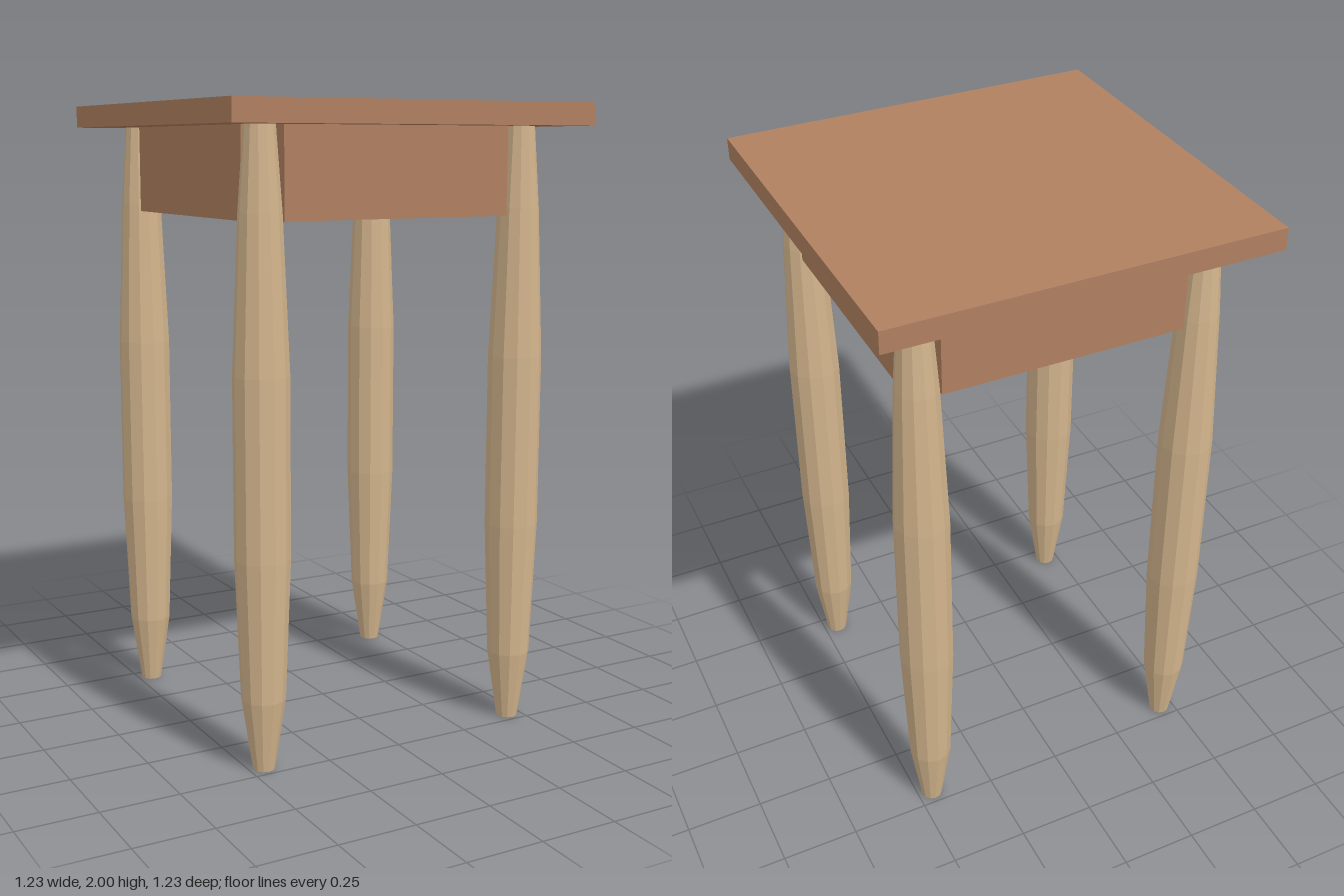
import * as THREE from 'three';

export function createModel() {
  const model = new THREE.Group();
  const brownWood = new THREE.MeshStandardMaterial({ color: 0xb08060 });
  const paleWood = new THREE.MeshStandardMaterial({ color: 0xd2b48c, flatShading: true });
  brownWood.name = 'brownWood';
  paleWood.name = 'paleWood';

  const add = (name, geometry, material, x, y, z) => {
    const mesh = new THREE.Mesh(geometry, material);
    mesh.name = name;
    mesh.position.set(x, y, z);
    model.add(mesh);
    return mesh;
  };

  const legOffset = 0.452;

  // Square seat board
  add('seat', new THREE.BoxGeometry(1.23, 0.07, 1.23), brownWood, 0, 1.965, 0);

  // Four apron boards set between the legs
  const apron = new THREE.BoxGeometry(0.775, 0.275, 0.056);
  ['front', 'left', 'back', 'right'].forEach((side, i) => {
    const a = i * Math.PI / 2;
    const board = add(side + 'Apron', apron, brownWood,
      Math.sin(a) * legOffset, 1.7925, Math.cos(a) * legOffset);
    board.rotation.y = a;
  });

  // Turned legs, swelling in the middle and tapering to both ends
  const profile = [
    [0, 0], [0.034, 0], [0.068, 0.225], [0.085, 0.66],
    [0.085, 1.21], [0.065, 1.68], [0.047, 1.93], [0, 1.93],
  ].map(([r, y]) => new THREE.Vector2(r, y));
  const leg = new THREE.LatheGeometry(profile, 12);
  for (const [zName, z] of [['front', 1], ['back', -1]]) {
    for (const [xName, x] of [['Left', 1], ['Right', -1]]) {
      add(zName + xName + 'Leg', leg, paleWood, x * legOffset, 0, z * legOffset);
    }
  }
  return model;
}
